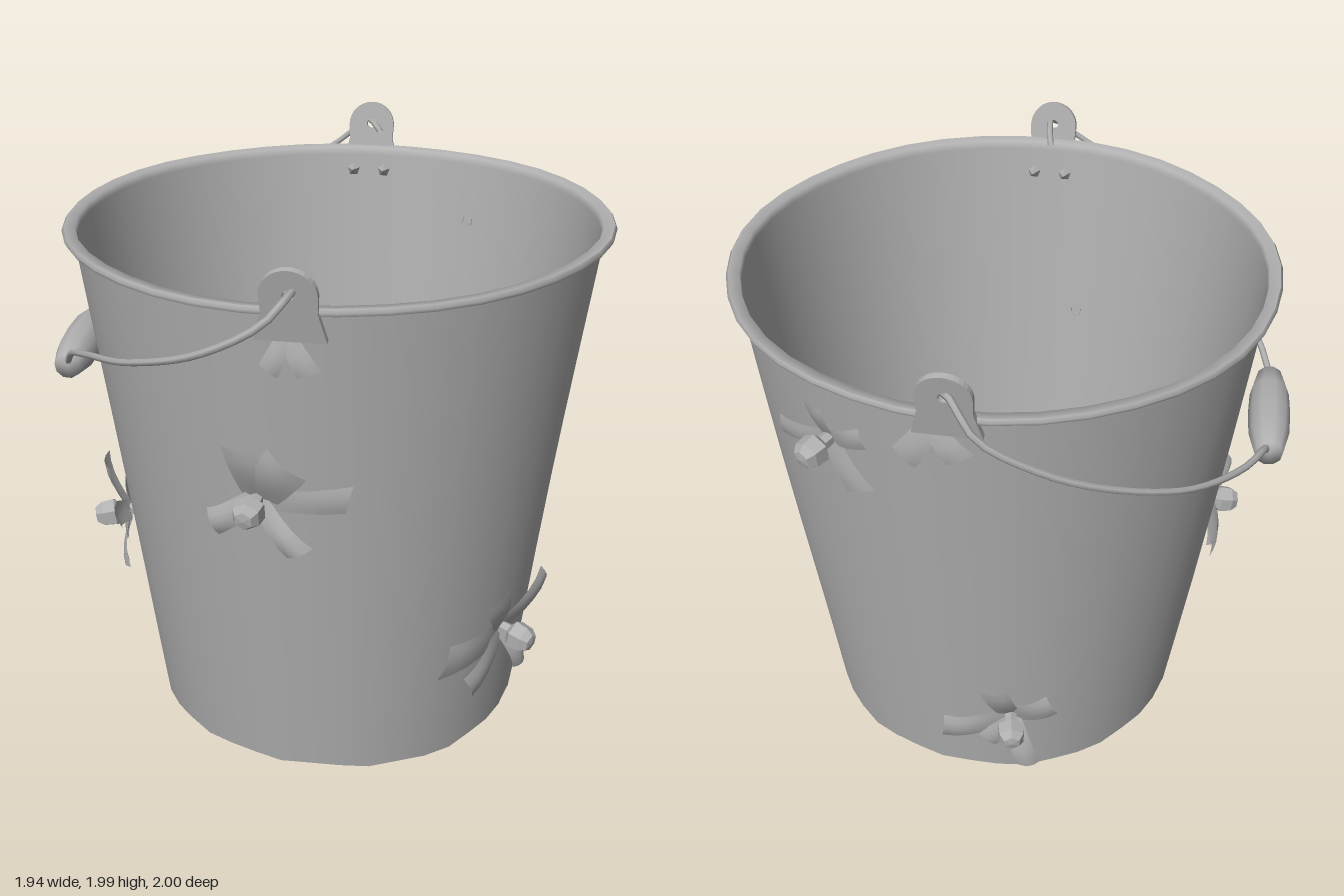
import * as THREE from 'three';

const steel = new THREE.MeshStandardMaterial({ color: 0xb0b0b0, side: THREE.DoubleSide });
steel.name = 'grey steel';

const TOP = 1.83;
// Radius and axis position of the tapered wall at a height
const radiusAt = (y) => 0.675 + 0.235 * (y / TOP);
const axisAt = (y) => ({ x: 0.02, z: 0.08 - 0.032 * (y / TOP) });

function add(parent, geometry, name) {
  const mesh = new THREE.Mesh(geometry, steel);
  mesh.name = name;
  parent.add(mesh);
  return mesh;
}

function faceted(geometry) {
  const g = geometry.index ? geometry.toNonIndexed() : geometry;
  g.computeVertexNormals();
  return g;
}

// A turned part of the pail, made slightly uneven, leaning and ragged at the foot
function turned(parent, name, points) {
  const g = new THREE.LatheGeometry(points.map(([r, y]) => new THREE.Vector2(r, y)), 40);
  const p = g.attributes.position;
  for (let i = 0; i < p.count; i++) {
    const x = p.getX(i), y = p.getY(i), z = p.getZ(i);
    const a = Math.atan2(x, z), c = axisAt(y);
    const k = 1 + 0.004 * Math.sin(3 * a + 2 * y) + 0.003 * Math.sin(7 * a - 3 * y);
    let h = y + 0.018 * z * (y / TOP);
    if (y < 0.02) h += 0.012 * (1 + Math.sin(5 * a) * Math.cos(9 * a + 1));
    p.setXYZ(i, c.x + x * k, h, c.z + z * k);
  }
  return add(parent, g, name);
}

// A torn flap that starts near the puncture and curls away from the wall
function flap(parent, [degrees, length, width, lift]) {
  const g = new THREE.PlaneGeometry(width, length, 4, 5);
  const p = g.attributes.position;
  const a = THREE.MathUtils.degToRad(degrees - 90);
  for (let i = 0; i < p.count; i++) {
    const t = p.getY(i) / length + 0.5;
    const s = p.getX(i) / width;
    const u = s * width * (0.75 + 0.25 * t);
    const v = 0.01 + t * length * (1 - 0.12 * s);
    const x = u * Math.cos(a) - v * Math.sin(a);
    const y = u * Math.sin(a) + v * Math.cos(a);
    const out = lift * (t * (1.6 - 0.6 * t * t) - 2.2 * s * s * t * 0.5);
    p.setXYZ(i, x, y, 0.008 + out - 0.6 * x * x);
  }
  g.computeVertexNormals();
  add(parent, g, 'tornFlap');
}

// Group lying on the wall: local z points outward
function onWall(parent, name, angle, y, offset = 0) {
  const group = new THREE.Group();
  const c = axisAt(y), r = radiusAt(y) + offset;
  group.name = name;
  group.position.set(c.x + r * Math.sin(angle), y, c.z + r * Math.cos(angle));
  group.rotation.set(0.13, angle, 0, 'YXZ');
  parent.add(group);
  return group;
}

function puncture(parent, x, y, z, flaps, bolt = true) {
  const c = axisAt(y);
  const group = onWall(parent, bolt ? 'boltedTear' : 'smallTear', Math.atan2(x - c.x, z - c.z), y);
  flaps.forEach((f) => flap(group, f));
  if (!bolt) return;
  const profile = [[0.022, -0.02], [0.026, 0.045], [0.054, 0.065], [0.05, 0.11], [0.032, 0.135], [0, 0.14]];
  const g = new THREE.LatheGeometry(profile.map(([r, h]) => new THREE.Vector2(r, h)), 6);
  g.rotateX(Math.PI / 2);
  add(group, faceted(g), 'bolt');
}

// Rounded lug that holds one end of the carrying wire
function ear(parent, name, angle, offset) {
  const group = onWall(parent, name, angle, 1.83, offset);
  group.rotation.x = 0.2;
  const s = new THREE.Shape();
  s.moveTo(-0.11, -0.07);
  s.lineTo(0.11, -0.07);
  s.lineTo(0.085, 0.03);
  s.absarc(0, 0.085, 0.088, 0, Math.PI, false);
  s.lineTo(-0.085, 0.03);
  s.closePath();
  const hole = new THREE.Path();
  hole.absarc(0, 0.09, 0.018, 0, Math.PI * 2, true);
  s.holes.push(hole);
  const g = new THREE.ExtrudeGeometry(s, { depth: 0.022, bevelEnabled: false, curveSegments: 8 });
  add(group, g, 'earPlate');
  // Rivet points showing on the inside of the wall
  for (const x of [-0.06, 0.06]) {
    const tip = new THREE.ConeGeometry(0.025, 0.05, 5);
    tip.rotateX(-Math.PI / 2);
    add(group, faceted(tip), 'rivet').position.set(x, -0.09, -0.05 - offset);
  }
}

function wire(parent, points) {
  const curve = new THREE.CatmullRomCurve3(points.map((p) => new THREE.Vector3(...p)));
  add(parent, new THREE.TubeGeometry(curve, 28, 0.012, 6), 'handleWire');
}

export function createModel() {
  const model = new THREE.Group();
  model.name = 'damagedBucket';

  // Pail
  const pail = new THREE.Group();
  pail.name = 'pail';
  model.add(pail);
  const steps = [0.01, 0.04, 0.3, 0.6, 0.9, 1.2, 1.5, TOP];
  turned(pail, 'outerWall', steps.map((y) => [radiusAt(y), y]));
  turned(pail, 'innerWall', steps.slice().reverse().map((y) => [radiusAt(y) - 0.012, y]));
  turned(pail, 'floor', [[0.668, 0.045], [0, 0.045]]);
  turned(pail, 'underside', [[0, 0.03], [0.67, 0.03]]);
  turned(pail, 'rimUnderside', [[0.905, 1.822], [0.94, 1.826]]);
  turned(pail, 'rimEdge', [[0.94, 1.826], [0.946, 1.838], [0.938, 1.85]]);
  turned(pail, 'rimTop', [[0.938, 1.85], [0.9, 1.846], [0.896, 1.82]]);

  // Torn punctures: flaps are [direction, length, width, lift]
  puncture(model, -0.46, 1.17, 0.72,
    [[100, 0.2, 0.12, 0.05], [55, 0.2, 0.16, 0.06], [5, 0.29, 0.1, 0.03], [-48, 0.21, 0.09, 0.07], [212, 0.16, 0.1, 0.07]]);
  puncture(model, 0.42, 0.48, 0.69,
    [[182, 0.3, 0.14, 0.04], [122, 0.22, 0.12, 0.05], [48, 0.23, 0.12, 0.07], [-62, 0.2, 0.08, 0.07], [222, 0.24, 0.12, 0.05]]);
  puncture(model, -0.74, 0.74, -0.08,
    [[95, 0.2, 0.12, 0.06], [180, 0.26, 0.12, 0.04], [25, 0.18, 0.1, 0.06], [-60, 0.19, 0.1, 0.06], [235, 0.17, 0.1, 0.05]]);
  puncture(model, 0.19, 0.35, -0.62,
    [[108, 0.19, 0.1, 0.06], [190, 0.24, 0.12, 0.06], [30, 0.16, 0.12, 0.05], [-75, 0.23, 0.09, 0.07], [230, 0.13, 0.1, 0.04]]);
  puncture(model, 0.74, 1.59, -0.47,
    [[100, 0.13, 0.07, 0.03], [195, 0.24, 0.08, 0.03], [-55, 0.19, 0.12, 0.03], [25, 0.17, 0.08, 0.03]]);
  puncture(model, -0.4, 1.77, 0.85, [[245, 0.12, 0.07, 0.03], [-60, 0.13, 0.08, 0.03]], false);
  puncture(model, 0.46, 1.77, -0.73, [[235, 0.15, 0.1, 0.03], [-50, 0.13, 0.1, 0.03]], false);

  // Carrying handle, fallen to one side
  const handle = new THREE.Group();
  handle.name = 'handle';
  model.add(handle);
  ear(handle, 'frontEar', Math.atan2(-0.42, 0.84), 0.015);
  ear(handle, 'rearEar', Math.atan2(0.42, -0.86), 0.015);
  wire(handle, [[-0.37, 1.87, 0.82], [-0.4, 1.93, 0.92], [-0.5, 1.85, 0.95], [-0.66, 1.74, 0.85],
    [-0.82, 1.62, 0.58], [-0.9, 1.5, 0.2], [-0.92, 1.4, -0.06], [-0.92, 1.32, -0.17]]);
  wire(handle, [[-0.73, 1.32, -0.57], [-0.68, 1.4, -0.66], [-0.55, 1.43, -0.78], [-0.3, 1.5, -0.92],
    [0, 1.62, -0.99], [0.2, 1.72, -0.99], [0.38, 1.84, -0.94], [0.43, 1.93, -0.85], [0.45, 1.9, -0.74]]);

  const from = new THREE.Vector3(-0.925, 1.315, -0.15);
  const to = new THREE.Vector3(-0.735, 1.315, -0.585);
  const grip = new THREE.LatheGeometry(
    [[0, -0.237], [0.048, -0.237], [0.07, -0.12], [0.074, 0], [0.07, 0.12], [0.048, 0.237], [0, 0.237]]
      .map(([r, y]) => new THREE.Vector2(r, y)), 10);
  const gripMesh = add(handle, grip, 'handleGrip');
  gripMesh.position.copy(from).lerp(to, 0.5);
  gripMesh.quaternion.setFromUnitVectors(new THREE.Vector3(0, 1, 0), to.clone().sub(from).normalize());

  return model;
}
